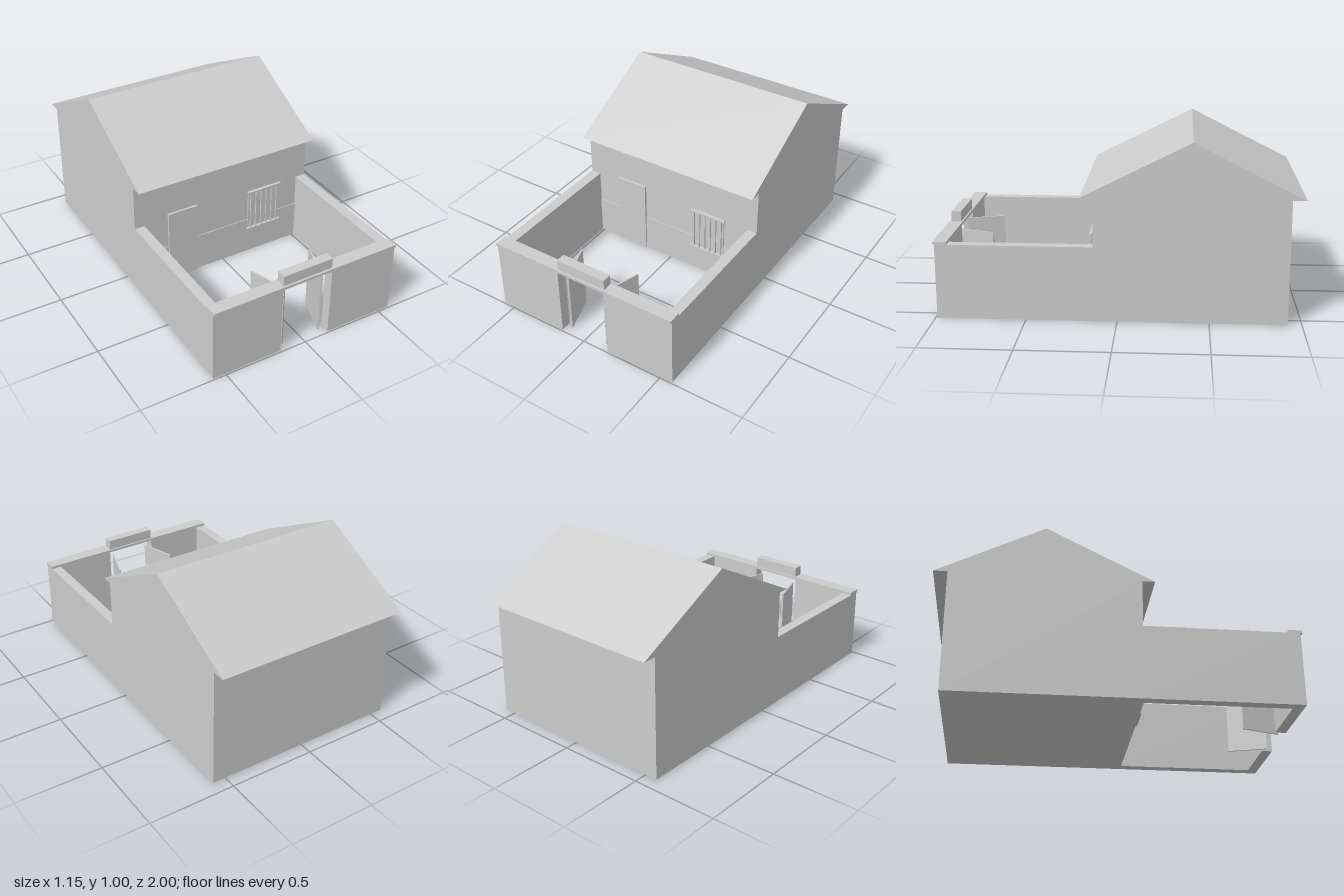
import * as THREE from 'three';

const grey = new THREE.MeshStandardMaterial({ color: 0xcccccc });
grey.name = 'plain grey';

// Box given by its extents along each axis
function block(name, [x0, x1], [y0, y1], [z0, z1]) {
  const mesh = new THREE.Mesh(new THREE.BoxGeometry(x1 - x0, y1 - y0, z1 - z0), grey);
  mesh.position.set((x0 + x1) / 2, (y0 + y1) / 2, (z0 + z1) / 2);
  mesh.name = name;
  return mesh;
}

export function createModel() {
  const model = new THREE.Group();
  model.name = 'courtyardHouse';
  const W = 0.573;      // half width
  const wallTop = 0.42; // courtyard wall height
  const front = 0.13;   // front face of the house

  // House body and gabled roof with flat soffits
  model.add(block('houseBody', [-W, W], [0, 0.692], [-0.923, front]));
  const gable = new THREE.Shape([
    new THREE.Vector2(-0.2, 0.692),
    new THREE.Vector2(1, 0.692),
    new THREE.Vector2(0.4, 0.995),
  ]);
  const roof = new THREE.Mesh(
    new THREE.ExtrudeGeometry(gable, { depth: 2 * W, bevelEnabled: false }), grey);
  roof.rotation.y = Math.PI / 2; // profile x becomes -z
  roof.position.x = -W;
  roof.name = 'roof';
  model.add(roof);

  // Courtyard walls and gate leaves, mirrored left and right
  for (const s of [-1, 1]) {
    const side = s > 0 ? 'left' : 'right';
    const span = (a, b) => (s > 0 ? [a, b] : [-b, -a]);
    model.add(block(side + 'SideWall', span(W - 0.06, W), [0, wallTop], [front, 0.99]));
    model.add(block(side + 'FrontWall', span(0.155, W - 0.06), [0, wallTop], [0.93, 0.99]));

    const gate = new THREE.Group();
    gate.name = side + 'GateLeaf';
    gate.add(block('leaf', [-0.005, 0.005], [0.002, 0.383], [-0.225, 0]));
    gate.position.set(s * 0.12, 0, 0.952);
    gate.rotation.y = -s * 0.31;
    model.add(gate);
  }

  // Coping over the front wall and the block above the gate
  model.add(block('frontCoping', [-W, W], [wallTop, 0.436], [0.923, 1]));
  model.add(block('gateHeadBlock', [-0.153, 0.153], [0.436, 0.496], [0.932, 0.988]));

  // House front: plinth band, door, window
  model.add(block('plinthBand', [-W + 0.06, W - 0.06], [0, 0.23], [front, front + 0.005]));
  model.add(block('houseDoor', [-0.365, -0.175], [0, 0.452], [front, front + 0.014]));
  model.add(block('windowPane', [0.172, 0.364], [0.19, 0.425], [front, front + 0.008]));

  // Window grille
  const grille = new THREE.Group();
  grille.name = 'windowGrille';
  for (const y of [0.178, 0.432]) {
    grille.add(block('grilleRail', [0.155, 0.381], [y, y + 0.008], [0.15, 0.167]));
  }
  for (let i = 0; i < 6; i++) {
    const x = 0.178 + i * 0.036;
    grille.add(block('grilleBar', [x - 0.004, x + 0.004], [0.186, 0.432], [0.154, 0.163]));
  }
  model.add(grille);

  return model;
}
